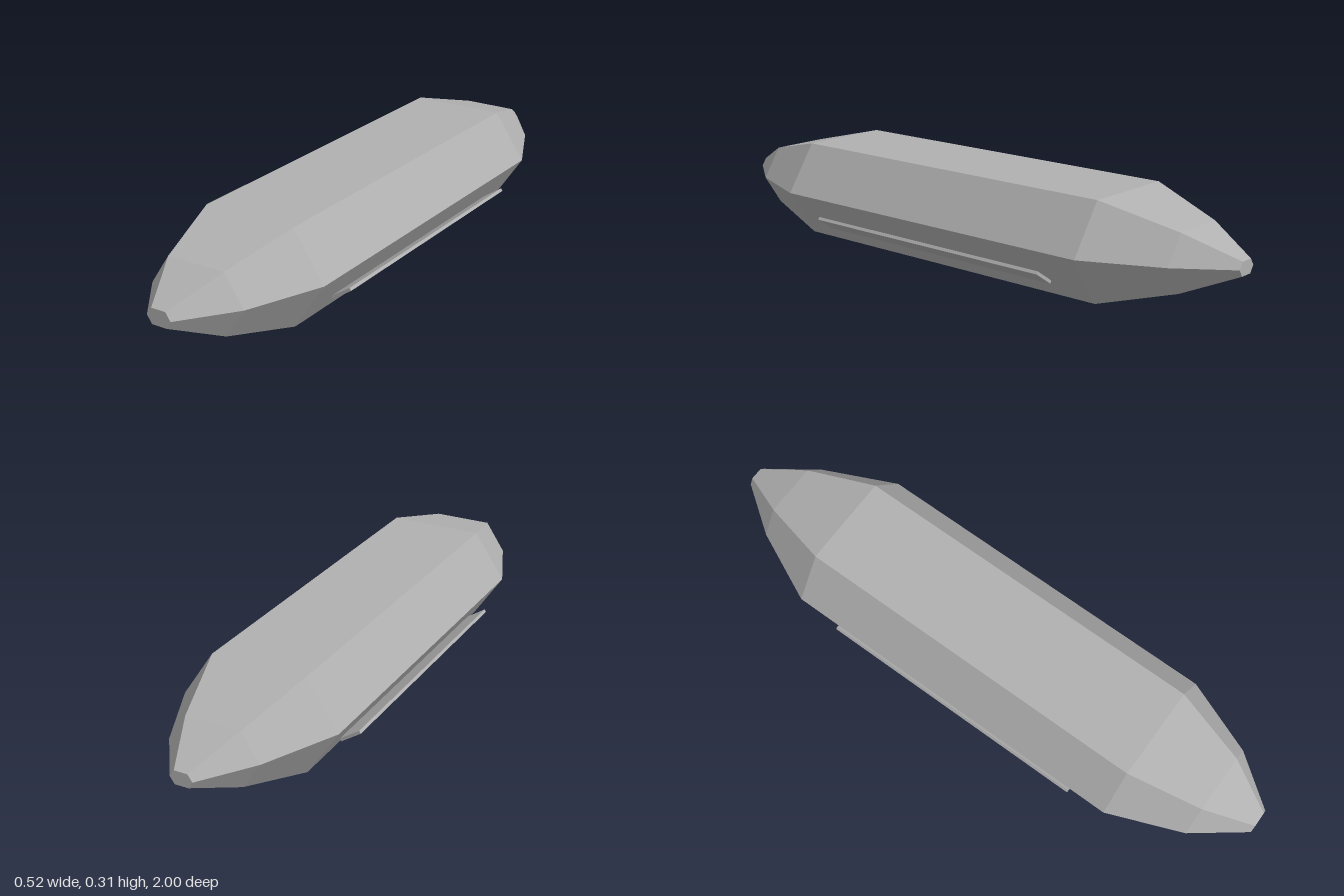
import * as THREE from 'three';

const MID = 0.155; // height of the hull's centre line
// Hexagonal section, counter-clockwise as seen from the front
const HEX = [[0.259, 0], [0.155, 0.155], [-0.155, 0.155], [-0.259, 0], [-0.155, -0.155], [0.155, -0.155]];
// Stations along the hull: [z, section scale]
const STATIONS = [[-1, 0.14], [-0.84, 0.575], [-0.6, 1], [0.6, 1], [0.84, 0.63], [1, 0.16]];

function hullGeometry() {
  const positions = [];
  const rings = STATIONS.map(([z, s]) => HEX.map(([x, y]) => [x * s, MID + y * s, z]));
  const tri = (...corners) => corners.forEach((p) => positions.push(...p));

  // Side panels between neighbouring sections
  for (let k = 0; k < rings.length - 1; k++) {
    const back = rings[k], front = rings[k + 1];
    for (let i = 0; i < 6; i++) {
      const j = (i + 1) % 6;
      tri(back[i], back[j], front[j]);
      tri(back[i], front[j], front[i]);
    }
  }
  // Blunt hexagonal tips
  const tail = rings[0], nose = rings[rings.length - 1];
  for (let i = 1; i < 5; i++) {
    tri(nose[0], nose[i], nose[i + 1]);
    tri(tail[0], tail[i + 1], tail[i]);
  }

  const geometry = new THREE.BufferGeometry();
  geometry.setAttribute('position', new THREE.Float32BufferAttribute(positions, 3));
  geometry.computeVertexNormals();
  return geometry;
}

export function createModel() {
  const model = new THREE.Group();
  model.name = 'hullWithKeels';
  const grey = new THREE.MeshStandardMaterial({ color: 0xb0b0b0, flatShading: true });
  grey.name = 'grey';

  const hull = new THREE.Mesh(hullGeometry(), grey);
  hull.name = 'hull';
  model.add(hull);

  // Thin bilge keels standing off the lower side panels
  const keelGeometry = new THREE.BoxGeometry(0.078, 0.01, 0.93);
  for (const side of [1, -1]) {
    const keel = new THREE.Mesh(keelGeometry, grey);
    keel.name = side > 0 ? 'leftKeel' : 'rightKeel';
    keel.position.set(side * 0.2225, 0.068, 0);
    keel.rotation.z = side * 0.59;
    model.add(keel);
  }
  return model;
}
